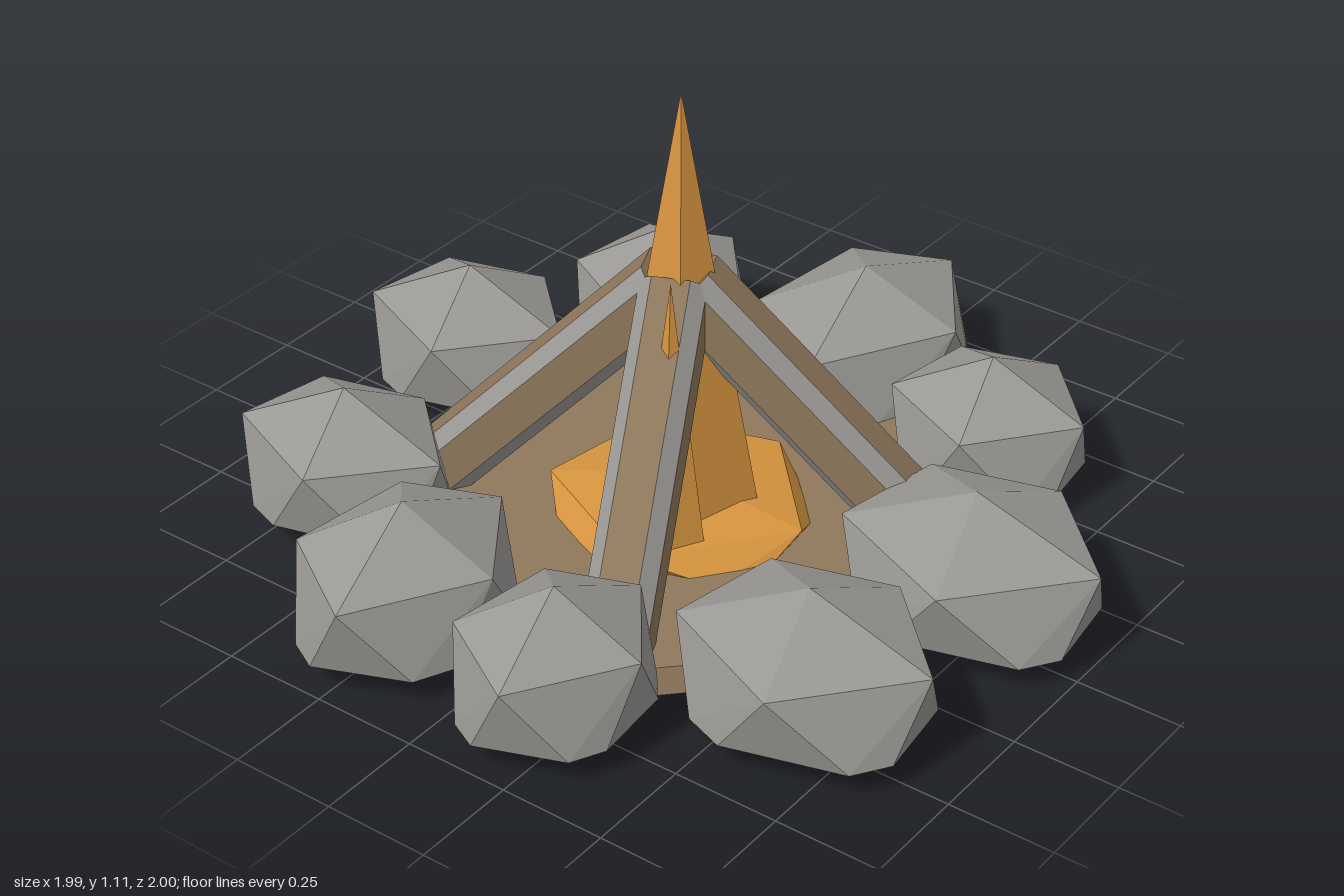
import * as THREE from 'three';
import { ConvexGeometry } from 'three/addons/geometries/ConvexGeometry.js';

const flat = (name, color) => {
  const m = new THREE.MeshStandardMaterial({ color, flatShading: true });
  m.name = name;
  return m;
};
const stone = flat('stone grey', 0x9a9894);
const wood = flat('wood brown', 0x8f785c);
const fire = flat('flame orange', 0xd6943f);

const RAD = Math.PI / 180;

// Faceted boulder fitted to a footprint box, with a pointed top and a rounded underside
function boulder(x0, x1, z0, z1, top, bottom = 0.01) {
  const h = top - bottom;
  const pts = [new THREE.Vector3(0, top, 0)];
  const ring = (angles, r, y) => angles.forEach((a) =>
    pts.push(new THREE.Vector3(r * Math.cos(a * RAD), y, r * Math.sin(a * RAD))));
  const upper = [12, 85, 168, 246, 312];
  ring(upper, 1, bottom + h * 0.66);
  ring(upper.flatMap((a) => [a + 24, a + 46]), 0.97, bottom + h * 0.16);
  ring(upper.map((a) => a + 36), 0.6, bottom);
  const box = new THREE.Box3().setFromPoints(pts);
  pts.forEach((p) => {
    p.x = THREE.MathUtils.mapLinear(p.x, box.min.x, box.max.x, x0, x1);
    p.z = THREE.MathUtils.mapLinear(p.z, box.min.z, box.max.z, z0, z1);
  });
  return new ConvexGeometry(pts);
}

// Chamfered square log: wide brown faces, narrow grey chamfers
function logGeometry(length) {
  const g = new THREE.CylinderGeometry(1, 1, length, 8, 1, false, Math.PI / 8);
  const p = g.attributes.position;
  const size = (v, other) => (Math.abs(v) < 0.01 ? 0 : Math.sign(v) * (Math.abs(v) > Math.abs(other) ? 0.075 : 0.043));
  for (let i = 0; i < p.count; i++) {
    const x = p.getX(i), z = p.getZ(i);
    p.setX(i, size(x, z));
    p.setZ(i, size(z, x));
  }
  g.clearGroups();
  for (let i = 0; i < 8; i++) g.addGroup(i * 6, 6, i % 2);
  g.addGroup(48, 48, 1);
  return g;
}

export function createModel() {
  const model = new THREE.Group();
  model.name = 'campfire';
  const add = (name, geometry, material, x = 0, y = 0, z = 0) => {
    const mesh = new THREE.Mesh(geometry, material);
    mesh.name = name;
    mesh.position.set(x, y, z);
    model.add(mesh);
    return mesh;
  };

  // Earth disc and the ember bed showing on its underside
  add('groundDisc', new THREE.CylinderGeometry(0.64, 0.66, 0.058, 10, 1, false, Math.PI / 4), wood, -0.03, 0.031, -0.03);
  const under = new THREE.RingGeometry(0.14, 0.29, 5, 1, Math.PI / 4);
  under.rotateX(Math.PI / 2);
  add('emberUnderside', under, fire, -0.04, 0, -0.02);

  // Ember bed
  add('emberBed', boulder(-0.33, 0.24, -0.31, 0.3, 0.15, 0.02), fire);

  // Flames: x, z, tip height, base radius, turn
  [
    [-0.045, -0.01, 1.11, 0.19, 0.3],
    [0.12, -0.12, 0.82, 0.13, 0.9],
    [-0.19, 0.07, 0.74, 0.09, 0.1],
  ].forEach(([x, z, tip, r, turn], i) => {
    const h = tip - 0.05;
    add('flame' + (i + 1), new THREE.ConeGeometry(r, h, 5), fire, x, 0.05 + h / 2, z).rotation.y = turn;
  });

  // Four logs leaning together
  const logShape = logGeometry(0.82);
  for (let i = 0; i < 4; i++) {
    const a = (23 + 90 * i) * RAD;
    const log = add('log' + (i + 1), logShape, [stone, wood],
      -0.04 + 0.305 * Math.sin(a), 0.345, -0.02 + 0.305 * Math.cos(a));
    log.rotation.set(-44 * RAD, a, 0, 'YXZ');
  }

  // Ring of boulders: x range, z range, top
  [
    [-0.66, -0.25, -0.89, -0.38, 0.345],
    [-0.09, 0.33, -1.0, -0.5, 0.345],
    [0.31, 0.75, -0.7, -0.28, 0.345],
    [0.39, 0.99, -0.25, 0.22, 0.33],
    [0.32, 0.74, 0.21, 0.67, 0.33],
    [-0.2, 0.3, 0.41, 1.0, 0.335],
    [-0.7, -0.21, 0.34, 0.91, 0.345],
    [-1.0, -0.53, 0.0, 0.41, 0.35],
    [-1.0, -0.46, -0.45, -0.01, 0.36],
  ].forEach((r, i) => add('boulder' + (i + 1), boulder(...r), stone));

  return model;
}
